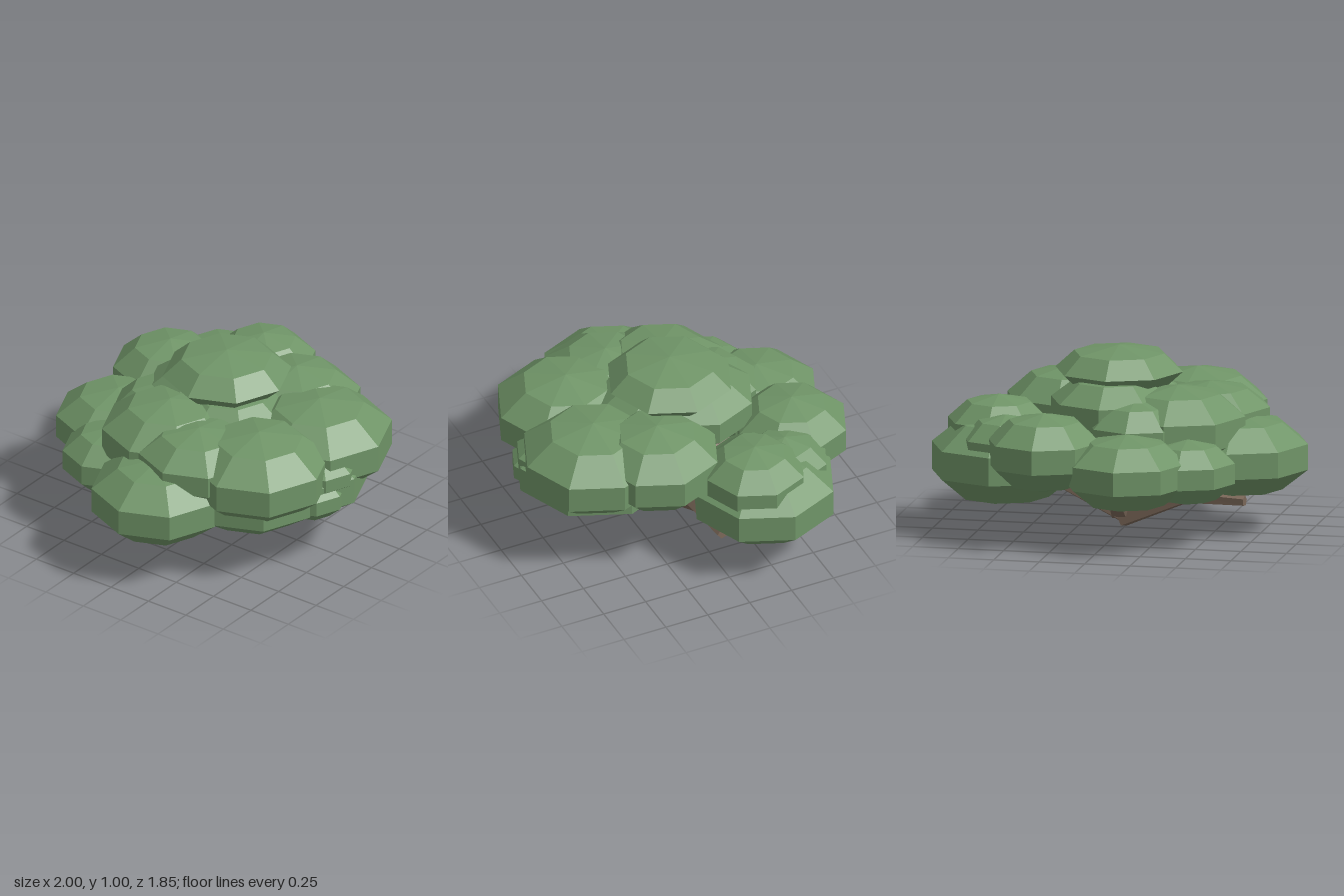
import * as THREE from 'three';

const leaf = new THREE.MeshStandardMaterial({ color: 0x6f9467, flatShading: true });
leaf.name = 'leaf green';
const bark = new THREE.MeshStandardMaterial({ color: 0x7a6758, flatShading: true });
bark.name = 'bark brown';

// Flattened eight-sided leaf clump; r is the outline radius, h the half height.
function clump(name, x, y, z, r, h, rows = 5) {
  const k = rows === 5 ? Math.sin(Math.PI * 0.4) : 1; // widest ring of the sphere
  const geo = new THREE.SphereGeometry(1, 8, rows);
  geo.scale(r / k, h, r / k);
  const mesh = new THREE.Mesh(geo, leaf);
  mesh.name = name;
  mesh.position.set(x, y, z);
  return mesh;
}

// Bent, tapering branch: the rows of a cylinder are moved onto three path points.
function branch(name, points, radii) {
  const path = points.map((p) => new THREE.Vector3(...p));
  const geo = new THREE.CylinderGeometry(1, 1, 2, 5, 2);
  const pos = geo.attributes.position;
  const v = new THREE.Vector3();
  const quats = path.map((p, i) => {
    const dir = path[Math.min(i + 1, 2)].clone().sub(path[Math.max(i - 1, 0)]).normalize();
    return new THREE.Quaternion().setFromUnitVectors(new THREE.Vector3(0, 1, 0), dir);
  });
  for (let i = 0; i < pos.count; i++) {
    const row = Math.round(pos.getY(i)) + 1;
    v.set(pos.getX(i) * radii[row], 0, pos.getZ(i) * radii[row]);
    v.applyQuaternion(quats[row]).add(path[row]);
    pos.setXYZ(i, v.x, v.y, v.z);
  }
  geo.computeVertexNormals();
  const mesh = new THREE.Mesh(geo, bark);
  mesh.name = name;
  return mesh;
}

export function createModel() {
  const tree = new THREE.Group();
  tree.name = 'tree';

  // Foliage: x, y, z, radius, half height
  const foliage = new THREE.Group();
  foliage.name = 'foliage';
  const clumps = {
    lowRightClump: [-0.63, 1.13, 0.05, 0.37, 0.227],
    lowLeftClump: [0.6, 1.12, -0.275, 0.398, 0.25],
    lowFrontClump: [0, 1.15, 0.435, 0.45, 0.235],
    lowFrontRightClump: [-0.26, 1.13, 0.4, 0.38, 0.2],
    lowBackClump: [-0.14, 1.135, -0.59, 0.338, 0.21],
    smallBackClump: [-0.44, 1.12, -0.42, 0.26, 0.18],
    backLeftClump: [0.315, 1.225, -0.58, 0.31, 0.215],
    leftClump: [0.645, 1.26, -0.2, 0.28, 0.195],
    innerLeftClump: [0.56, 1.21, -0.42, 0.24, 0.18],
    frontLeftClump: [0.35, 1.307, 0.24, 0.345, 0.235],
    frontClump: [0.165, 1.285, 0.53, 0.393, 0.242],
    frontRightClump: [-0.3, 1.275, 0.47, 0.385, 0.24],
    rightClump: [-0.435, 1.31, 0.17, 0.33, 0.19],
    backRightClump: [-0.32, 1.3, -0.11, 0.37, 0.23],
    innerBackClump: [-0.13, 1.28, -0.3, 0.27, 0.2],
    upperBackClump: [0.04, 1.38, -0.125, 0.335, 0.2],
    upperFrontClump: [-0.03, 1.36, 0.09, 0.33, 0.18],
    lowerSprig: [-0.11, 1.12, 0.68, 0.19, 0.13],
    upperSprig: [-0.03, 1.23, 0.68, 0.2, 0.12],
  };
  for (const [name, c] of Object.entries(clumps)) foliage.add(clump(name, ...c));
  foliage.add(clump('crownClump', 0.03, 1.575, 0.01, 0.35, 0.135, 4));

  // Four limbs spreading from the fork
  const limbs = new THREE.Group();
  limbs.name = 'branches';
  const radii = [0.068, 0.048, 0.031];
  limbs.add(
    branch('rightBranch', [[0.02, 0.77, 0.01], [-0.34, 0.905, -0.03], [-0.68, 0.9, -0.08]], radii),
    branch('leftBranch', [[0.01, 0.8, 0.01], [0.38, 0.965, 0.02], [0.71, 0.985, 0.02]], radii),
    branch('frontBranch', [[0.02, 0.81, 0], [0.04, 0.99, 0.25], [0.04, 1.06, 0.45]], radii),
    branch('backBranch', [[0.02, 0.81, 0], [0.01, 0.95, -0.22], [-0.02, 1.04, -0.45]], radii),
  );

  tree.add(foliage, limbs);
  return tree;
}
